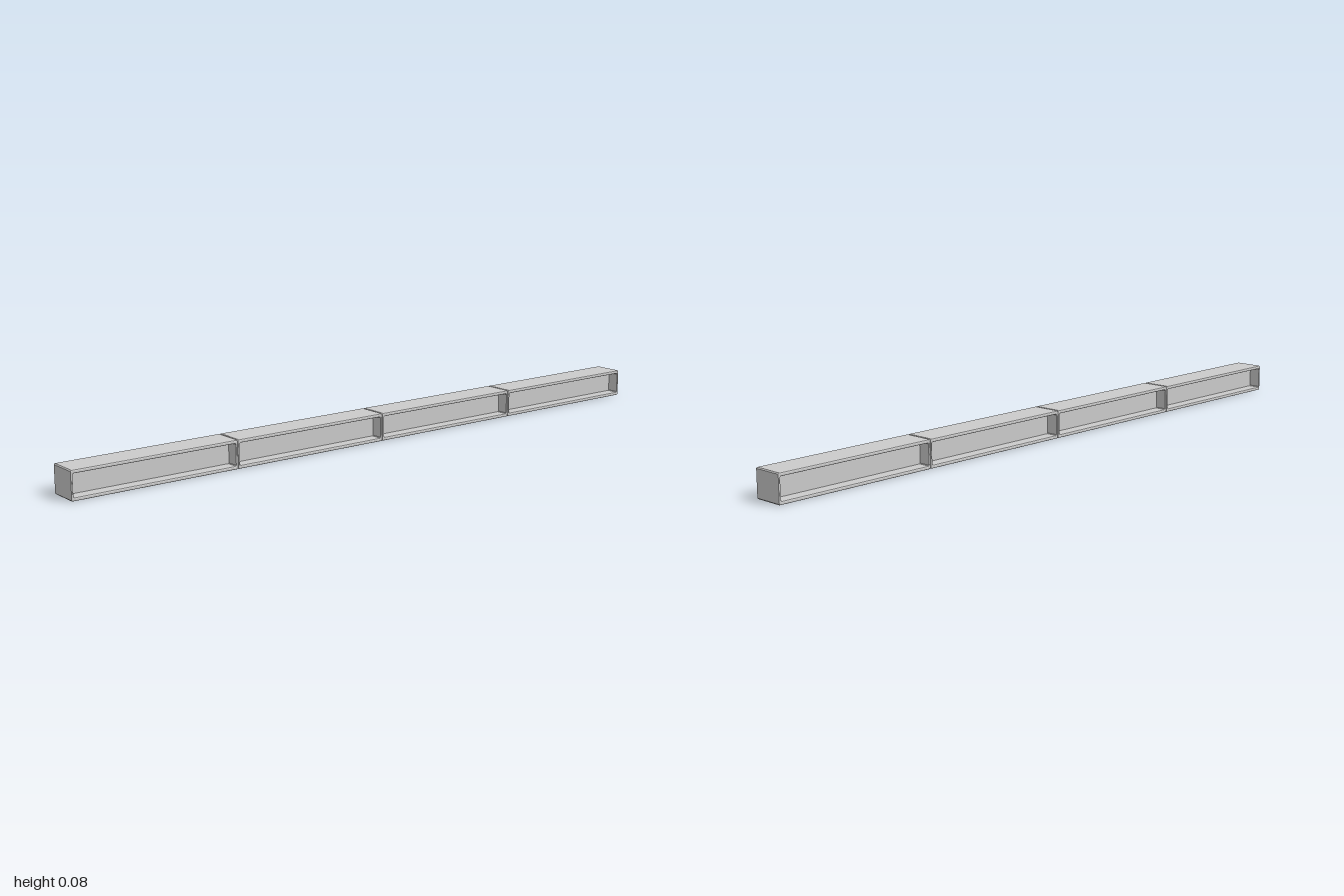
import * as THREE from 'three';

const COUNT = 4, LENGTH = 0.5;           // beam segments along z
const WIDTH = 0.09, HEIGHT = 0.082;
const FLANGE = 0.01, END_WALL = 0.007;   // frame thickness around the side pockets
const WEB = 0.02, BEVEL = 0.003;

// Rectangle with small chamfered corners, centred on the origin
function chamferedRect(target, w, h, c) {
  const x = w / 2, y = h / 2;
  target.moveTo(-x + c, -y);
  target.lineTo(x - c, -y);
  target.lineTo(x, -y + c);
  target.lineTo(x, y - c);
  target.lineTo(x - c, y);
  target.lineTo(-x + c, y);
  target.lineTo(-x, y - c);
  target.lineTo(-x, -y + c);
  target.closePath();
  return target;
}

// Rectangular frame: top and bottom flanges joined by thin end walls
function frameGeometry() {
  const shape = chamferedRect(new THREE.Shape(), LENGTH, HEIGHT, BEVEL);
  shape.holes.push(chamferedRect(new THREE.Path(),
    LENGTH - 2 * END_WALL, HEIGHT - 2 * FLANGE, 0.002));
  const geometry = new THREE.ExtrudeGeometry(shape, {
    depth: WIDTH - 2 * BEVEL,
    bevelEnabled: true,
    bevelThickness: BEVEL,
    bevelSize: BEVEL,
    bevelOffset: -BEVEL,
    bevelSegments: 2,
  });
  geometry.translate(0, 0, -WIDTH / 2 + BEVEL);
  geometry.rotateY(-Math.PI / 2);
  return geometry;
}

export function createModel() {
  const model = new THREE.Group();
  model.name = 'segmentedBeam';
  const material = new THREE.MeshStandardMaterial({ color: 0xcccccc });
  const frame = frameGeometry();
  const web = new THREE.BoxGeometry(WEB, HEIGHT - 2 * FLANGE + 0.004, LENGTH - 2 * END_WALL + 0.004);

  for (let i = 0; i < COUNT; i++) {
    const segment = new THREE.Group();
    segment.name = `beamSegment${i + 1}`;
    segment.position.set(0, HEIGHT / 2, (i - (COUNT - 1) / 2) * LENGTH);

    const frameMesh = new THREE.Mesh(frame, material);
    frameMesh.name = 'flangeFrame';
    // Central web separating the left and right pockets
    const webMesh = new THREE.Mesh(web, material);
    webMesh.name = 'web';

    segment.add(frameMesh, webMesh);
    model.add(segment);
  }
  return model;
}
